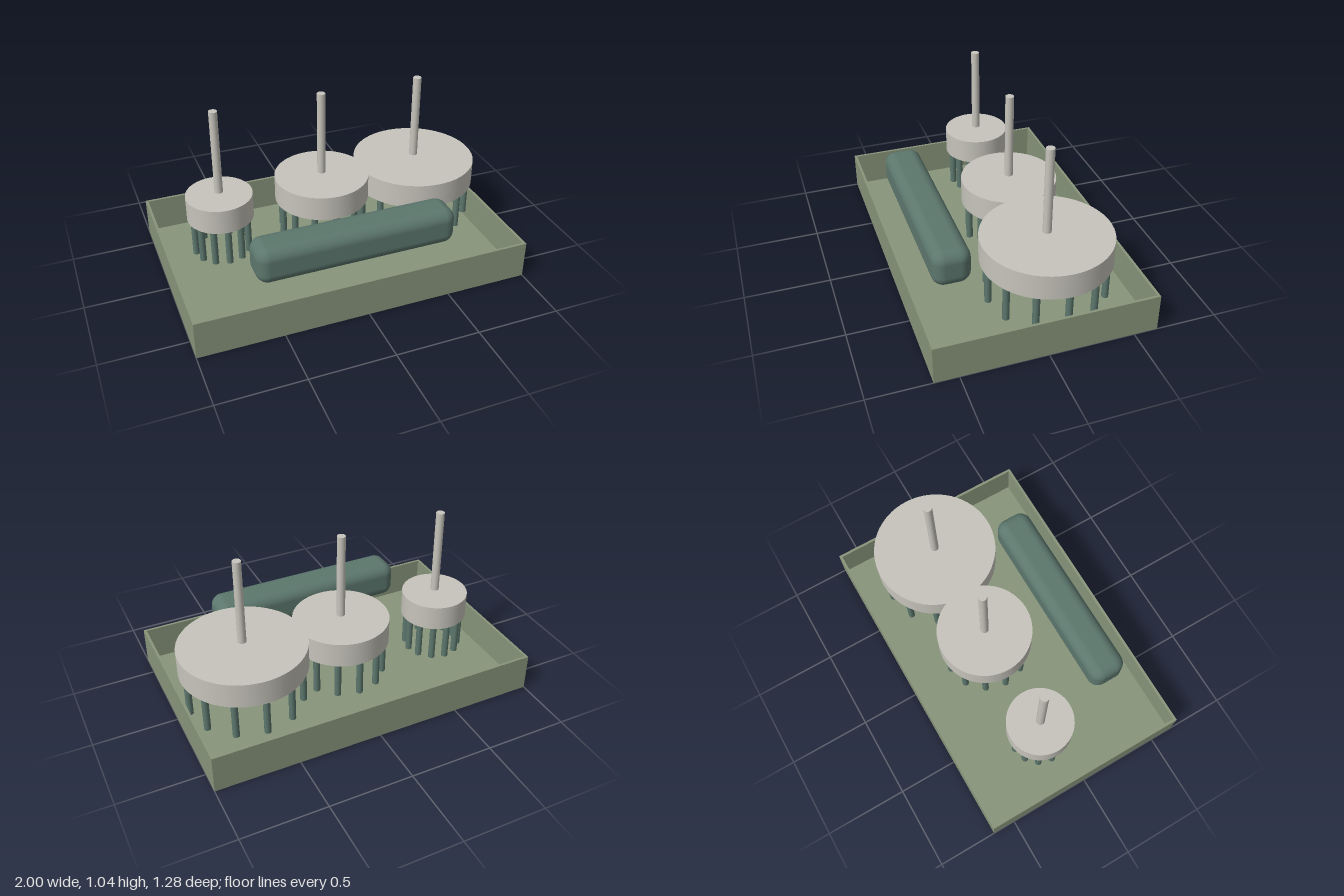
import * as THREE from 'three';
import { RoundedBoxGeometry } from 'three/addons/geometries/RoundedBoxGeometry.js';

const material = (name, color) => {
  const m = new THREE.MeshStandardMaterial({ color });
  m.name = name;
  return m;
};

export function createModel() {
  const model = new THREE.Group();
  model.name = 'trayWithDrums';

  const sage = material('sage green', 0x87947a);
  const stone = material('stone grey', 0xc6c4bb);
  const teal = material('dark teal', 0x5c776d);

  const add = (parent, name, geometry, mat, x, y, z) => {
    const mesh = new THREE.Mesh(geometry, mat);
    mesh.name = name;
    mesh.position.set(x, y, z);
    parent.add(mesh);
    return mesh;
  };

  // Open tray: floor and four thin walls
  const W = 2, D = 1.28, H = 0.23, T = 0.016;
  const tray = new THREE.Group();
  tray.name = 'tray';
  model.add(tray);
  add(tray, 'trayFloor', new THREE.BoxGeometry(W, T, D), sage, 0, T / 2, 0);
  const wallY = (H + T) / 2;
  for (const s of [-1, 1]) {
    add(tray, s > 0 ? 'leftWall' : 'rightWall',
      new THREE.BoxGeometry(T, H - T, D), sage, s * (W - T) / 2, wallY, 0);
    add(tray, s > 0 ? 'frontWall' : 'backWall',
      new THREE.BoxGeometry(W - 2 * T, H - T, T), sage, 0, wallY, s * (D - T) / 2);
  }

  // Drums, each with a ring of pins below and a rod hovering above
  const bottom = 0.355, top = 0.505, pinEnd = 0.125;
  const rodGeometry = new THREE.CylinderGeometry(0.025, 0.025, 0.52, 24);
  const pinGeometry = new THREE.CylinderGeometry(0.02, 0.02, bottom - pinEnd, 16);
  const drums = [
    ['small', -0.64, 0.197],
    ['medium', 0, 0.285],
    ['large', 0.615, 0.373],
  ];
  for (const [size, x, radius] of drums) {
    const unit = new THREE.Group();
    unit.name = size + 'DrumUnit';
    unit.position.set(x, 0, -0.121);
    model.add(unit);
    add(unit, 'drum', new THREE.CylinderGeometry(radius, radius, top - bottom, 64),
      stone, 0, (top + bottom) / 2, 0);
    add(unit, 'rod', rodGeometry, stone, 0, 0.78, 0);
    const ring = radius - 0.035;
    for (let i = 0; i < 12; i++) {
      const a = (i / 12) * Math.PI * 2;
      add(unit, 'pin', pinGeometry, teal,
        Math.cos(a) * ring, (bottom + pinEnd) / 2, Math.sin(a) * ring);
    }
  }

  // Rounded bar along the front
  add(model, 'frontBar', new RoundedBoxGeometry(1.2, 0.225, 0.225, 6, 0.07),
    teal, 0, 0.363, 0.402);

  return model;
}
